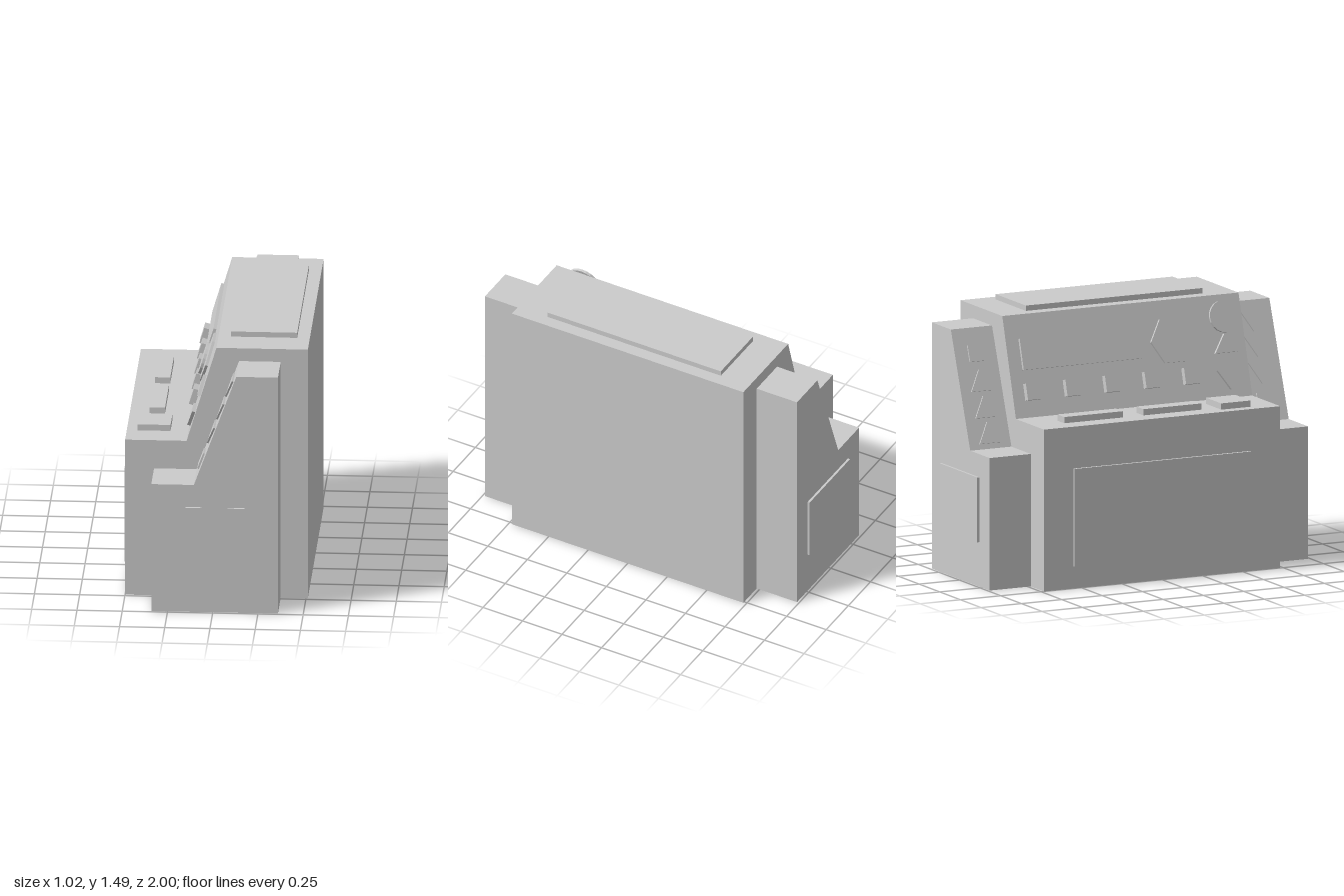
import * as THREE from 'three';

const material = new THREE.MeshStandardMaterial({ color: 0xcccccc, flatShading: true });

export function createModel() {
  const root = new THREE.Group();
  root.name = 'console';

  const add = (name, geometry) => {
    const mesh = new THREE.Mesh(geometry, material);
    mesh.name = name;
    root.add(mesh);
    return mesh;
  };
  const shapeOf = (pts) => new THREE.Shape(pts.map(([x, y]) => new THREE.Vector2(x, y)));
  const extrude = (pts, depth) =>
    new THREE.ExtrudeGeometry(shapeOf(pts), { depth, bevelEnabled: false });

  // Box given by its limits on each axis
  const box = (name, x0, x1, y0, y1, z0, z1) =>
    add(name, new THREE.BoxGeometry(x1 - x0, y1 - y0, z1 - z0))
      .position.set((x0 + x1) / 2, (y0 + y1) / 2, (z0 + z1) / 2);

  // Cabinet profile, extruded symmetrically along z
  const cabinet = (name, pts, half) => {
    add(name, extrude(pts, half * 2)).position.z = -half;
  };
  const mainSlope = [[-0.16, 0.91], [0.005, 1.46]];
  const sideSlope = [[-0.105, 0.745], [0.13, 1.385]];
  cabinet('mainCabinet',
    [[-0.5, 0], [0.51, 0], [0.51, 1.46], mainSlope[1], mainSlope[0], [-0.5, 0.91]], 0.732);
  // The end cabinets stop just inside the main one
  for (const s of [-1, 1]) {
    const end = add(s > 0 ? 'frontEndCabinet' : 'backEndCabinet', extrude(
      [[-0.34, 0], [0.36, 0], [0.36, 1.385], sideSlope[1], sideSlope[0], [-0.34, 0.745]], 0.265));
    end.position.z = s > 0 ? 0.722 : -0.987;
  }

  // Raised panels
  box('topPanel', 0.075, 0.44, 1.45, 1.49, -0.55, 0.546);
  box('operatorPanel', -0.515, -0.49, 0.125, 0.675, -0.55, 0.546);
  box('backEndPanel', -0.215, 0.24, 0.25, 0.615, -1, -0.98);
  box('frontEndVent', -0.15, -0.062, 0.25, 0.615, 0.98, 1);
  box('frontEndVent', 0.083, 0.175, 0.25, 0.615, 0.98, 1);

  // Keys on the flat shelf
  box('shelfKey', -0.39, -0.305, 0.9, 0.945, -0.55, -0.185);
  box('shelfKey', -0.39, -0.305, 0.9, 0.945, -0.06, 0.3);
  box('shelfPad', -0.44, -0.258, 0.9, 0.945, 0.397, 0.578);

  // Flat plate on a slope: local x runs along z, local y up the slope, local z outward
  const onSlope = (name, [a, b], y, z, pts, depth, gap = -0.005) => {
    const up = new THREE.Vector3(b[0] - a[0], b[1] - a[1], 0).normalize();
    const out = new THREE.Vector3(-up.y, up.x, 0);
    const mesh = add(name, extrude(pts, depth - gap));
    const x = a[0] + (y - a[1]) * (b[0] - a[0]) / (b[1] - a[1]);
    mesh.quaternion.setFromRotationMatrix(
      new THREE.Matrix4().makeBasis(new THREE.Vector3(0, 0, 1), up, out));
    mesh.position.set(x, y, z).addScaledVector(out, gap);
  };
  const rect = (w, h) => [[-w / 2, -h / 2], [w / 2, -h / 2], [w / 2, h / 2], [-w / 2, h / 2]];
  const triangle = (w, h, dir) =>
    [[-w / 2, -dir * h / 2], [w / 2, -dir * h / 2], [0, dir * h / 2]];
  const polygon = (r, n) => Array.from({ length: n }, (_, i) => {
    const t = (i / n) * Math.PI * 2;
    return [r * Math.cos(t), r * Math.sin(t)];
  });

  // Controls on the main slope
  onSlope('display', mainSlope, 1.247, -0.285, rect(0.735, 0.175), 0.017);
  onSlope('hexagonScreen', mainSlope, 1.242, 0.29, polygon(0.14, 6), 0.015);
  onSlope('roundDial', mainSlope, 1.34, 0.603, polygon(0.09, 20), 0.05, 0.035);
  onSlope('upArrow', mainSlope, 1.2, 0.603, triangle(0.14, 0.105, 1), 0.018);
  onSlope('downArrow', mainSlope, 1.005, 0.603, triangle(0.14, 0.11, -1), 0.018);
  for (let i = 0; i < 5; i++) {
    onSlope('squareButton', mainSlope, 1.045, -0.615 + i * 0.245, rect(0.09, 0.093), 0.035);
  }

  // Controls on the end slopes: arrows point down at the front, up at the back
  for (const y of [1.275, 1.14, 1.0]) {
    onSlope('frontEndArrow', sideSlope, y, 0.857, triangle(0.132, 0.12, -1), 0.01);
  }
  onSlope('frontEndButton', sideSlope, 0.853, 0.857, rect(0.09, 0.095), 0.01);
  for (const y of [0.83, 0.965, 1.105]) {
    onSlope('backEndArrow', sideSlope, y, -0.86, triangle(0.132, 0.12, 1), 0.01);
  }
  onSlope('backEndButton', sideSlope, 1.25, -0.86, rect(0.09, 0.095), 0.01);

  return root;
}
